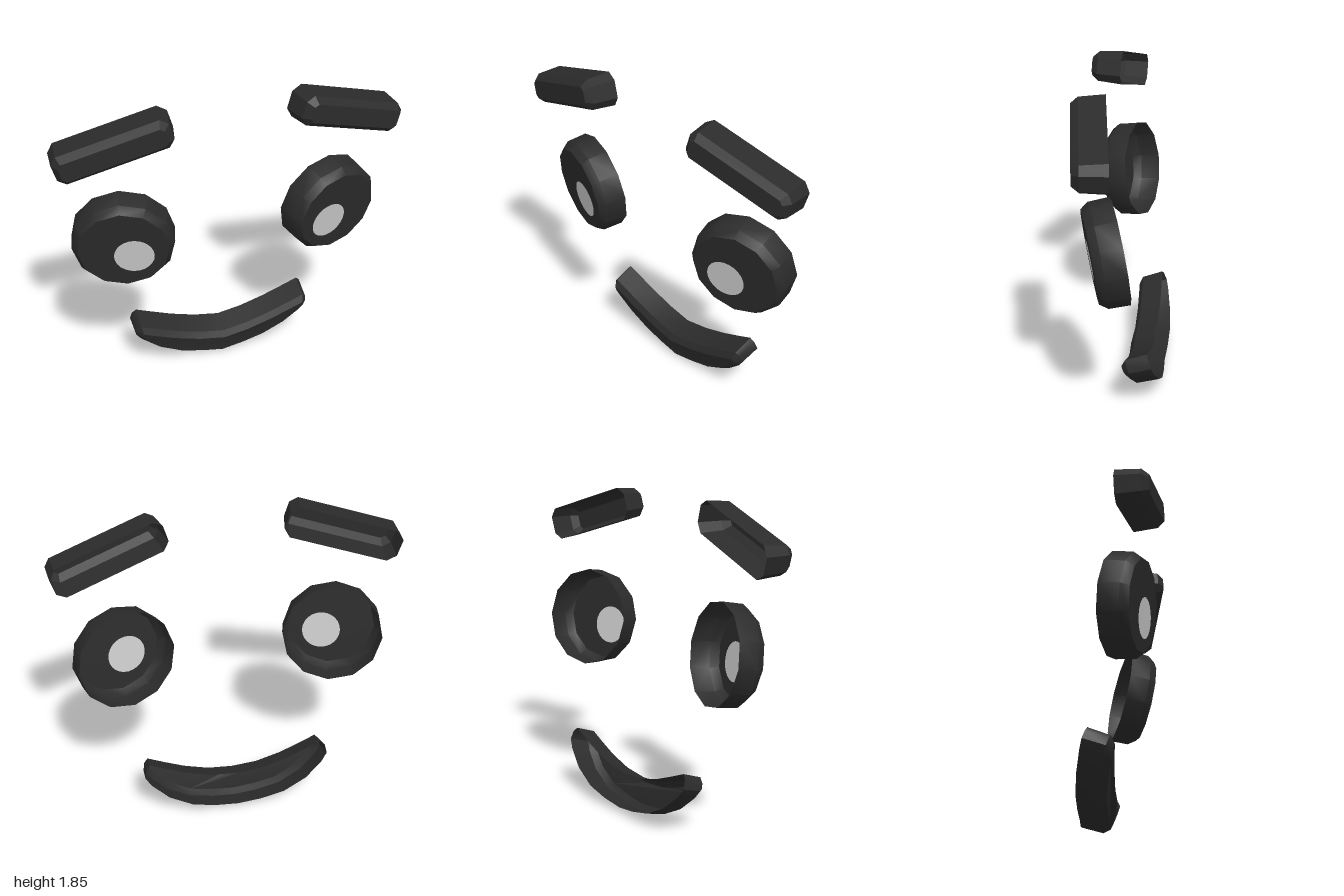
import * as THREE from 'three';
import { toCreasedNormals } from 'three/addons/utils/BufferGeometryUtils.js';

const V = (x, y) => new THREE.Vector2(x, y);

// Moves each corner of a counter-clockwise outline inwards by d
function inset(outline, d) {
  const n = outline.length;
  return outline.map((p, i) => {
    const a = p.clone().sub(outline[(i + n - 1) % n]).normalize();
    const b = outline[(i + 1) % n].clone().sub(p).normalize();
    const na = V(-a.y, a.x), nb = V(-b.y, b.x);
    return p.clone().addScaledVector(na.clone().add(nb), d / (1 + na.dot(nb)));
  });
}

// Hollow shell, open at the back: rings of [z, inset], closed by a front face
function shell(outline, rings, hole) {
  const pos = [];
  const loops = rings.map(([z, d]) => inset(outline, d).map(p => [p.x, p.y, z]));
  for (let r = 0; r + 1 < loops.length; r++) {
    const a = loops[r], b = loops[r + 1];
    a.forEach((p, i) => {
      const j = (i + 1) % a.length;
      pos.push(...p, ...a[j], ...b[j], ...p, ...b[j], ...b[i]);
    });
  }
  const [zFront, dFront] = rings[rings.length - 1];
  const face = new THREE.Shape(inset(outline, dFront));
  if (hole) face.holes.push(new THREE.Path(hole));
  const cap = new THREE.ShapeGeometry(face).toNonIndexed();
  cap.translate(0, 0, zFront);
  for (const v of cap.attributes.position.array) pos.push(v);
  const geo = new THREE.BufferGeometry();
  geo.setAttribute('position', new THREE.Float32BufferAttribute(pos, 3));
  return geo;
}

const circle = (n, r, cx = 0, cy = 0, phase = 0) => Array.from({ length: n }, (_, i) => {
  const t = phase + i / n * Math.PI * 2;
  return V(cx + r * Math.cos(t), cy + r * Math.sin(t));
});

export function createModel() {
  const dark = new THREE.MeshStandardMaterial({ color: 0x2b2b2b, side: THREE.DoubleSide });
  dark.name = 'charcoal';
  const light = new THREE.MeshStandardMaterial({ color: 0xcccccc, side: THREE.DoubleSide });
  light.name = 'lightGrey';
  const model = new THREE.Group();
  model.name = 'face';

  const add = (parent, name, geo, mat) => {
    const mesh = new THREE.Mesh(toCreasedNormals(geo, 0.6), mat);
    mesh.name = name;
    parent.add(mesh);
    return mesh;
  };

  for (const s of [1, -1]) {
    const side = s > 0 ? 'left' : 'right';

    // Eye: twelve-sided cup turned outwards and down, with a pupil set in its face
    const eye = new THREE.Group();
    eye.name = side + 'Eye';
    eye.position.set(0.6 * s, 1.06, -0.04);
    eye.rotation.set(0.148, 0.255 * s, 0, 'YXZ');
    const pupil = circle(24, 0.113, -0.058 * s, -0.046);
    add(eye, side + 'EyeCup', shell(circle(12, 0.292, 0, 0, -0.05 * s),
      [[0, 0], [0.12, 0.004], [0.165, 0.035]], pupil), dark);
    const disc = new THREE.ShapeGeometry(new THREE.Shape(pupil));
    disc.translate(0, 0, 0.165);
    add(eye, side + 'Pupil', disc, light);
    model.add(eye);

    // Eyebrow: bevelled bar sloping down towards the outside
    const L = 0.335, H = 0.096, c = 0.045;
    const bar = [V(L, -H + c), V(L, H - c), V(L - c, H), V(c - L, H),
      V(-L, H - c), V(-L, c - H), V(c - L, -H), V(L - c, -H)];
    const brow = add(model, side + 'Eyebrow',
      shell(bar, [[0, 0], [0.145, 0.01], [0.185, 0.042]]), dark);
    brow.position.set(0.655 * s, 1.682, 0.018);
    brow.rotation.set(0, 0.153 * s, -0.297 * s, 'YXZ');
  }

  // Mouth: crescent from a half outline, mirrored, and folded slightly at the middle
  const half = [[0, 0.045], [0.14, 0.06], [0.28, 0.09], [0.42, 0.16], [0.52, 0.25], [0.555, 0.3],
    [0.545, 0.35], [0.52, 0.375], [0.42, 0.335], [0.3, 0.29], [0.15, 0.25], [0, 0.235]];
  const right = half.map(([x, y]) => V(x, y * 1.05));
  const left = right.slice(1, -1).reverse().map(p => V(-p.x, p.y));
  const mouthGeo = shell([...right, ...left], [[0, 0], [0.13, 0.005], [0.163, 0.035]]);
  const p = mouthGeo.attributes.position;
  for (let i = 0; i < p.count; i++) {
    p.setZ(i, p.getZ(i) + 0.05 * (1 - Math.abs(p.getX(i)) / 0.555));
  }
  const mouth = add(model, 'mouth', mouthGeo, dark);
  mouth.position.set(0, 0.015, -0.302);
  mouth.rotation.x = 0.314;

  return model;
}
